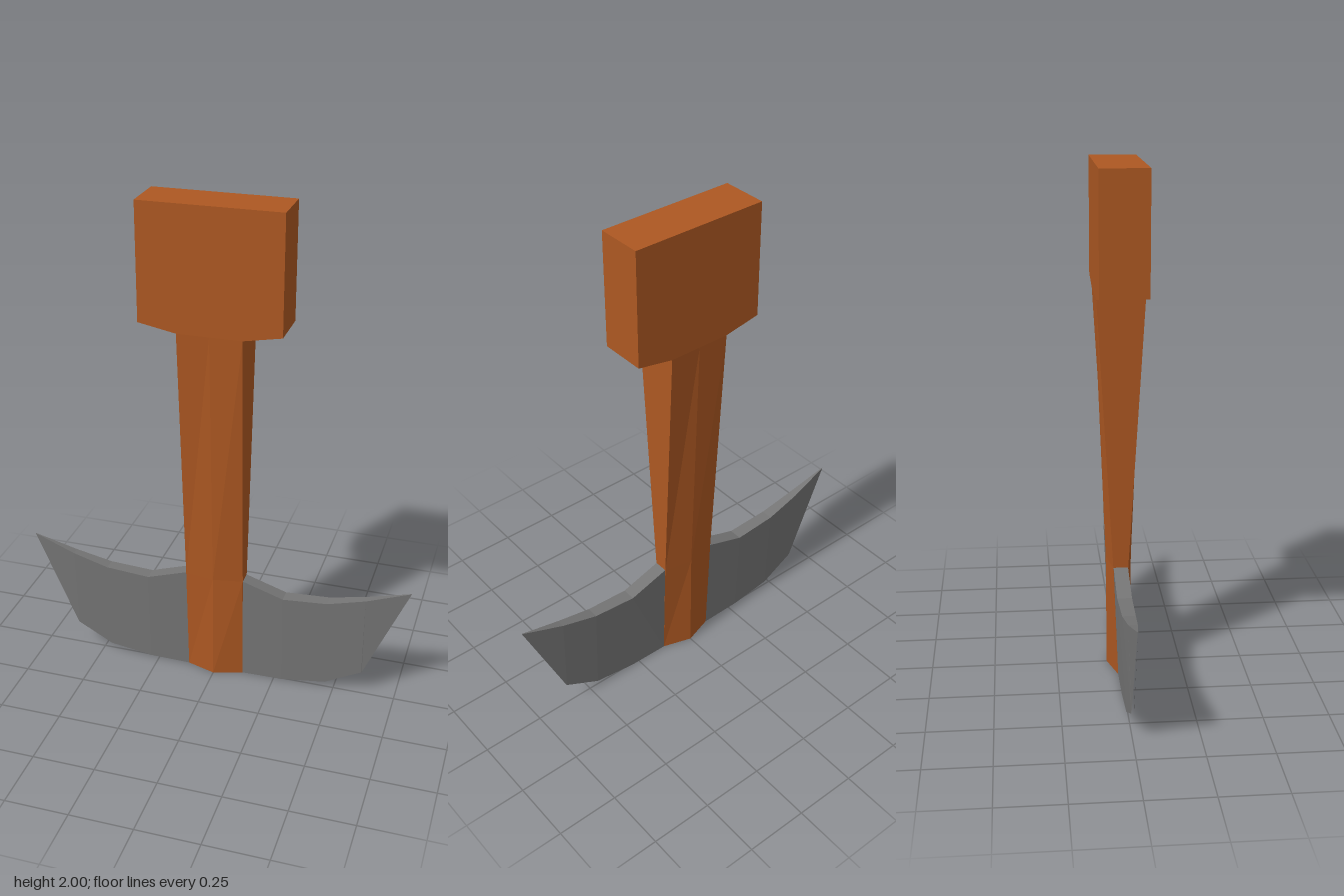
import * as THREE from 'three';

// Flat-shaded skin through rings of equal length; the first ring can be capped.
function loft(rings, capStart) {
  const pos = [];
  const n = rings[0].length;
  const tri = (a, b, c) => pos.push(...a, ...b, ...c);
  for (let i = 0; i < rings.length - 1; i++) {
    for (let j = 0; j < n; j++) {
      const k = (j + 1) % n;
      const [a, b, c, d] = [rings[i][j], rings[i][k], rings[i + 1][k], rings[i + 1][j]];
      tri(a, b, c);
      tri(a, c, d);
    }
  }
  if (capStart) {
    for (let j = 1; j < n - 1; j++) tri(rings[0][0], rings[0][j + 1], rings[0][j]);
  }
  const g = new THREE.BufferGeometry();
  g.setAttribute('position', new THREE.Float32BufferAttribute(pos, 3));
  g.computeVertexNormals();
  return g;
}

export function createModel() {
  const model = new THREE.Group();
  const wood = new THREE.MeshStandardMaterial({ name: 'orangeWood', color: 0xad5822 });
  const steel = new THREE.MeshStandardMaterial({ name: 'greySteel', color: 0x757575 });
  const add = (name, geometry, material) => {
    const mesh = new THREE.Mesh(geometry, material);
    mesh.name = name;
    model.add(mesh);
    return mesh;
  };

  // Block head with a shallow sloping underside
  const outline = new THREE.Shape([
    [-0.274, 2], [-0.274, 1.545], [-0.126, 1.517],
    [0.126, 1.517], [0.274, 1.545], [0.274, 2],
  ].map(([x, y]) => new THREE.Vector2(x, y)));
  const head = new THREE.ExtrudeGeometry(outline, { depth: 0.182, bevelEnabled: false });
  head.translate(0, 0, -0.091);
  add('head', head, wood);

  // Six-sided shank: y, half width, half depth at the ridge, half depth at the sides
  const shank = [
    [0, 0.117, 0.047, 0.01],
    [0.46, 0.119, 0.05, 0.029],
    [1.517, 0.126, 0.091, 0.091],
  ].map(([y, x, ridge, side]) => [
    [0, y, ridge], [x, y, side], [x, y, -side],
    [0, y, -ridge], [-x, y, -side], [-x, y, side],
  ]);
  add('shank', loft(shank, true), wood);

  // Curved blade: top x, top y, top half depth, bottom x, bottom y, bottom half depth
  const blade = loft([
    [0.119, 0.46, 0.028, 0.117, 0, 0.01],
    [0.285, 0.406, 0.028, 0.285, 0.003, 0.01],
    [0.465, 0.418, 0.025, 0.465, 0.028, 0.009],
    [0.615, 0.455, 0.017, 0.613, 0.105, 0.005],
    [0.79, 0.512, 0.001, 0.615, 0.107, 0.004],
  ].map(([tx, ty, tz, bx, by, bz]) => [
    [tx, ty, tz], [bx, by, bz], [bx, by, -bz], [tx, ty, -tz],
  ]), false);
  add('leftBlade', blade, steel);
  add('rightBlade', blade, steel).rotation.y = Math.PI;

  return model;
}
